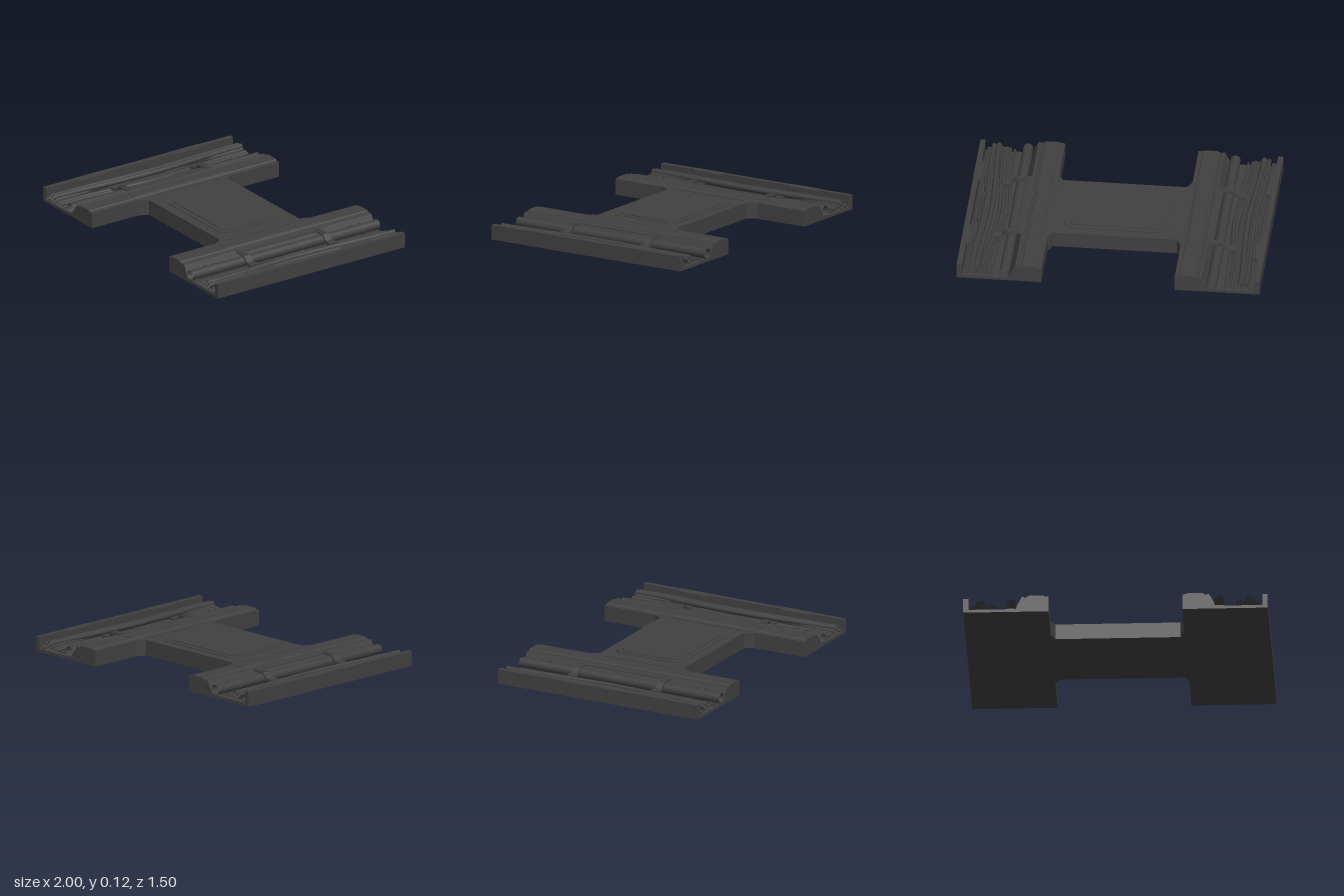
import * as THREE from 'three';

const DARK = new THREE.MeshStandardMaterial({ color: 0x404040 });
const DARK_OPEN = new THREE.MeshStandardMaterial({ color: 0x404040, side: THREE.DoubleSide });

const shapeOf = (pts) => new THREE.Shape(pts.map(([x, y]) => new THREE.Vector2(x, y)));

function add(parent, name, geometry, material = DARK) {
  const mesh = new THREE.Mesh(geometry, material);
  mesh.name = name;
  parent.add(mesh);
  return mesh;
}

function box(parent, name, [w, h, d], [x, y, z]) {
  return add(parent, name, new THREE.BoxGeometry(w, h, d).translate(x, y, z));
}

// Cross-section in x/y, swept along z from z0 to z1
function sweepZ(parent, name, pts, z0, z1) {
  const g = new THREE.ExtrudeGeometry(shapeOf(pts), { depth: z1 - z0, bevelEnabled: false });
  return add(parent, name, g.translate(0, 0, z0));
}

// Outline in x/z, raised from y0 to y1
function slab(parent, name, pts, y0, y1) {
  const g = new THREE.ExtrudeGeometry(shapeOf(pts), { depth: y1 - y0, bevelEnabled: false });
  return add(parent, name, g.rotateX(Math.PI / 2).translate(0, y1, 0));
}

const octagon = (a, b, c) => [
  [-a + c, -b], [a - c, -b], [a, -b + c], [a, b - c],
  [a - c, b], [-a + c, b], [-a, b - c], [-a, -b + c],
];

function rodZ(parent, name, r, length, [x, y, z], open = false) {
  const g = new THREE.CylinderGeometry(r, r, length, 16, 1, open).rotateX(Math.PI / 2).translate(x, y, z);
  return add(parent, name, g, open ? DARK_OPEN : DARK);
}

// Cables: [x at the ends, x at the middle, y, radius, sharpness of the bend]
const CABLES = [
  [0.77, 0.745, 0.032, 0.008, 1],
  [0.80, 0.755, 0.040, 0.011, 2],
  [0.82, 0.775, 0.045, 0.013, 2],
  [0.84, 0.800, 0.040, 0.012, 1.5],
  [0.875, 0.845, 0.068, 0.018, 1],
  [0.895, 0.875, 0.055, 0.017, 1],
  [0.86, 0.905, 0.050, 0.014, 2],
  [0.88, 0.925, 0.040, 0.011, 2],
  [0.91, 0.890, 0.066, 0.013, 1.5],
  [0.935, 0.900, 0.035, 0.011, 1.5],
  [0.945, 0.945, 0.034, 0.010, 1],
];

function createSide(s) {
  const side = new THREE.Group();
  side.name = s > 0 ? 'leftSide' : 'rightSide';
  const m = (pts) => pts.map(([x, y]) => [s * x, y]);

  // Base trough with the inner deck and outer wall in one section
  sweepZ(side, 'trough', m([
    [0.44, 0], [1, 0], [1, 0.1], [0.965, 0.1], [0.965, 0.02], [0.655, 0.02],
    [0.645, 0.05], [0.615, 0.106], [0.6, 0.106], [0.597, 0.1], [0.588, 0.1], [0.585, 0.108],
    [0.575, 0.108], [0.568, 0.115], [0.475, 0.115], [0.467, 0.108], [0.44, 0.106],
  ]), -0.75, 0.75);
  sweepZ(side, 'deckPlate', m([[0.48, 0.11], [0.563, 0.11], [0.558, 0.119], [0.485, 0.119]]), -0.38, 0.38);
  box(side, 'deckSlotBar', [0.016, 0.006, 0.53], [s * 0.443, 0.107, 0]);

  // Pipe with couplings
  rodZ(side, 'pipe', 0.034, 1.5, [s * 0.684, 0.055, 0], true);
  box(side, 'pipeSaddle', [0.05, 0.008, 1.5], [s * 0.684, 0.021, 0]);
  sweepZ(side, 'pipeRail', m([[0.605, 0.098], [0.648, 0.098], [0.648, 0.104], [0.605, 0.106]]), -0.3, 0.3);

  for (const e of [-1, 1]) {
    for (const z of [0.55, 0.615]) rodZ(side, 'pipeCoupling', 0.038, 0.014, [s * 0.684, 0.055, e * z], true);

    // Bent clamp arm reaching over the pipe to the cables
    const z = e * 0.315;
    sweepZ(side, 'clampArm', m([
      [0.605, 0.106], [0.715, 0.103], [0.748, 0.07], [0.8, 0.066],
      [0.8, 0.052], [0.74, 0.055], [0.708, 0.092], [0.605, 0.094],
    ]), z - 0.024, z + 0.024);
    sweepZ(side, 'clampRib', m([[0.62, 0.1], [0.713, 0.1], [0.713, 0.108], [0.62, 0.11]]), z - 0.01, z + 0.01);
    box(side, 'clampFoot', [0.03, 0.05, 0.06], [s * 0.785, 0.045, z]);

    // Flange tab with clipped corners on the outer wall
    const c = e * 0.38;
    slab(side, 'wallTab', m([
      [1, c - 0.12], [0.96, c - 0.12], [0.94, c - 0.09],
      [0.94, c + 0.09], [0.96, c + 0.12], [1, c + 0.12],
    ]), 0.092, 0.102);
  }

  // Wavy cables lying in the trough
  for (const [xEnd, xMid, y, r, k] of CABLES) {
    const pts = [];
    for (let i = 0; i <= 16; i++) {
      const z = -0.75 + (1.5 * i) / 16;
      const w = Math.pow(Math.cos((z / 0.75) * Math.PI / 2) ** 2, k);
      pts.push(new THREE.Vector3(s * (xEnd + (xMid - xEnd) * w), y, z));
    }
    add(side, 'cable', new THREE.TubeGeometry(new THREE.CatmullRomCurve3(pts), 48, r, 8), DARK_OPEN);
  }
  return side;
}

export function createModel() {
  const model = new THREE.Group();
  model.name = 'floorSection';

  // Central bridge, flaring where it meets the sides
  slab(model, 'bridge', [
    [-0.41, -0.315], [0.41, -0.315], [0.44, -0.38], [0.45, -0.38], [0.45, 0.38], [0.44, 0.38],
    [0.41, 0.315], [-0.41, 0.315], [-0.44, 0.38], [-0.45, 0.38], [-0.45, -0.38], [-0.44, -0.38],
  ], 0, 0.106);
  slab(model, 'panelBorder', octagon(0.35, 0.25, 0.05), 0.1, 0.111);
  slab(model, 'panel', octagon(0.315, 0.215, 0.035), 0.1, 0.116);

  model.add(createSide(1), createSide(-1));
  return model;
}
